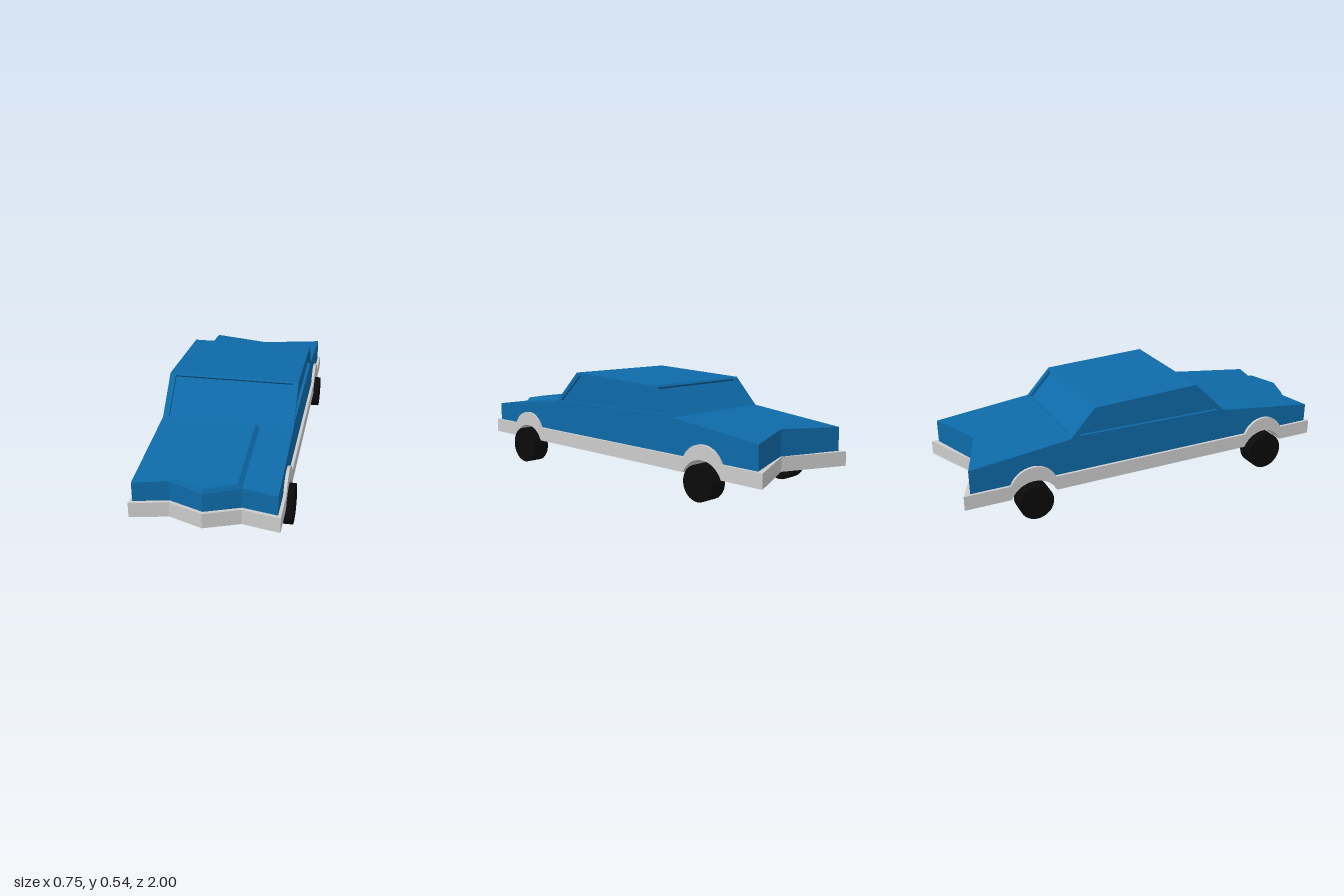
import * as THREE from 'three';
import { toCreasedNormals } from 'three/addons/utils/BufferGeometryUtils.js';

const BLUE = new THREE.MeshStandardMaterial({ color: 0x0e6aa8 });
const GREY = new THREE.MeshStandardMaterial({ color: 0xcccccc });
const BLACK = new THREE.MeshStandardMaterial({ color: 0x0a0a0a });
const HALF = 0.33;

function add(group, name, geometry, material) {
  const mesh = new THREE.Mesh(geometry, material);
  mesh.name = name;
  group.add(mesh);
  return mesh;
}

// Joins closed [z, y] outlines, one per x station, and caps both ends.
// Outlines run along the bottom to the rear, then back over the top.
function loft(xs, outline) {
  const rings = xs.map((x) => outline(x).map(([z, y]) => new THREE.Vector3(x, y, z)));
  const pos = [];
  const tri = (...pts) => pts.forEach((p) => pos.push(p.x, p.y, p.z));
  for (let i = 0; i < rings.length - 1; i++) {
    const A = rings[i], B = rings[i + 1];
    A.forEach((p, j) => {
      const k = (j + 1) % A.length;
      tri(p, A[k], B[k]);
      tri(p, B[k], B[j]);
    });
  }
  for (const [ring, side] of [[rings[0], -1], [rings[rings.length - 1], 1]]) {
    const flat = ring.map((p) => new THREE.Vector2(-p.z, p.y));
    for (const [a, b, c] of THREE.ShapeUtils.triangulateShape(flat, [])) {
      const area = THREE.ShapeUtils.area([flat[a], flat[b], flat[c]]);
      if (area * side > 0) tri(ring[a], ring[b], ring[c]);
      else tri(ring[a], ring[c], ring[b]);
    }
  }
  const geometry = new THREE.BufferGeometry();
  geometry.setAttribute('position', new THREE.Float32BufferAttribute(pos, 3));
  return toCreasedNormals(geometry, 0.3);
}

// Pointed nose and notched tail in plan
const noseZ = (x) => {
  const a = Math.abs(x);
  return a < 0.165 ? 0.98 - (a / 0.165) * 0.065 : 0.915 + ((a - 0.165) / 0.165) * 0.035;
};
const tailZ = (x) => -0.85 - (Math.abs(x) / HALF) * 0.115;
const hoodY = (z) => 0.37 - (z - 0.415) * 0.112;
const deckY = (z) => 0.368 + (z + 0.455) * 0.1235;
const sillTop = (z) => 0.2 + z * 0.015;
const sillBottom = (z) => 0.1265 + z * 0.0135;

// Points of a wheel arch rising from a base line, front to rear
function arch(centre, base) {
  const R = 0.1257, a = 1.155, pts = [];
  for (let i = 0; i <= 14; i++) {
    const t = a - (2 * a * i) / 14;
    const z = centre + R * Math.sin(t);
    pts.push([z, base(z) + R * (Math.cos(t) - Math.cos(a))]);
  }
  return pts;
}

// Extruded panel with a window opening
function frame(outer, hole, depth) {
  const toPts = (list) => list.map(([x, y]) => new THREE.Vector2(x, y));
  const shape = new THREE.Shape(toPts(outer));
  shape.holes.push(new THREE.Path(toPts(hole)));
  return new THREE.ExtrudeGeometry(shape, { depth, bevelEnabled: false });
}

// Sloped window surround from a base [z, y] to a top [z, y]
function slopedFrame(base, top, facing) {
  const dir = new THREE.Vector3(0, top[1] - base[1], top[0] - base[0]);
  const L = dir.length(), w = HALF - 0.001, h = 0.3;
  const geometry = frame(
    [[-w, 0], [w, 0], [w, L], [-w, L]],
    [[-h, 0.008], [-h, L - 0.012], [h, L - 0.012], [h, 0.008]], 0.02);
  geometry.translate(0, 0, -0.02);
  const X = new THREE.Vector3(facing, 0, 0), Y = dir.normalize();
  const m = new THREE.Matrix4().makeBasis(X, Y, new THREE.Vector3().crossVectors(X, Y));
  m.setPosition(0, base[1], base[0]);
  return geometry.applyMatrix4(m);
}

function wheelGeometry(r) {
  const w = 0.046;
  const pts = [[0, -w + 0.01], [r * 0.6, -w + 0.01], [r * 0.62, -w], [r, -w], [r, w], [0, w]];
  const lathe = new THREE.LatheGeometry(pts.map(([x, y]) => new THREE.Vector2(x, y)), 32);
  return toCreasedNormals(lathe, 0.5);
}

export function createModel() {
  const car = new THREE.Group();
  car.name = 'car';

  // Grey sill and bumper slab with wheel arches running right across
  const axles = [{ name: 'front', z: 0.665, r: 0.098 }, { name: 'rear', z: -0.655, r: 0.088 }];
  const lower = axles.flatMap((a) => arch(a.z, sillBottom));
  const upper = axles.flatMap((a) => arch(a.z, sillTop)).reverse();
  add(car, 'chassis', loft([-0.345, -0.165, 0, 0.165, 0.345], (x) => {
    const f = noseZ(x) + 0.018;
    const b = -0.857 - (Math.abs(x) / 0.345) * 0.143;
    return [[f, sillBottom(f)], ...lower, [b, sillBottom(b)], [b, sillTop(b)], ...upper, [f, sillTop(f)]];
  }), GREY);

  // Lower body
  add(car, 'body', loft([-HALF, -0.165, 0, 0.165, HALF], (x) => {
    const f = noseZ(x), b = tailZ(x);
    return [[f, sillTop(f) - 0.003], [b, sillTop(b) - 0.003], [b, deckY(b)],
      [-0.455, 0.368], [0.415, 0.37], [f, hoodY(f)]];
  }), BLUE);

  // Raised hood centre with bevelled edges
  add(car, 'hoodBulge', loft([-0.165, -0.145, 0, 0.145, 0.165], (x) => {
    const f = noseZ(x), rise = Math.abs(x) > 0.15 ? 0 : 0.018, t = f - rise * 0.6;
    return [[f, hoodY(f) - 0.01], [0.43, hoodY(0.43) - 0.01],
      [0.43, hoodY(0.43) + rise], [t, hoodY(t) + rise]];
  }), BLUE);

  // Cabin: recessed window core, roof and window surrounds
  add(car, 'windowPanes', loft([-0.315, 0.315], () =>
    [[0.403, 0.36], [-0.44, 0.36], [-0.31, 0.502], [0.23, 0.528]]), BLUE);
  add(car, 'roof', loft([-HALF + 0.001, HALF - 0.001], () =>
    [[0.225, 0.522], [-0.315, 0.492], [-0.325, 0.51], [0.24, 0.54]]), BLUE);
  add(car, 'windscreenFrame', slopedFrame([0.415, 0.37], [0.24, 0.54], 1), BLUE);
  add(car, 'rearWindowFrame', slopedFrame([-0.455, 0.368], [-0.325, 0.51], -1), BLUE);
  for (const [side, x] of [['left', HALF], ['right', -HALF + 0.02]]) {
    const geometry = frame(
      [[0.415, 0.368], [0.24, 0.54], [-0.325, 0.51], [-0.455, 0.368]],
      [[0.38, 0.378], [-0.41, 0.378], [-0.305, 0.5], [0.215, 0.527]], 0.02);
    geometry.rotateY(-Math.PI / 2).translate(x, 0, 0);
    add(car, side + 'WindowFrame', geometry, BLUE);
  }

  // Wheels
  for (const axle of axles) {
    for (const [side, s] of [['Left', 1], ['Right', -1]]) {
      const wheel = add(car, axle.name + side + 'Wheel', wheelGeometry(axle.r), BLACK);
      wheel.rotation.z = -s * Math.PI / 2;
      wheel.position.set(s * 0.327, axle.r, axle.z);
    }
  }
  return car;
}
